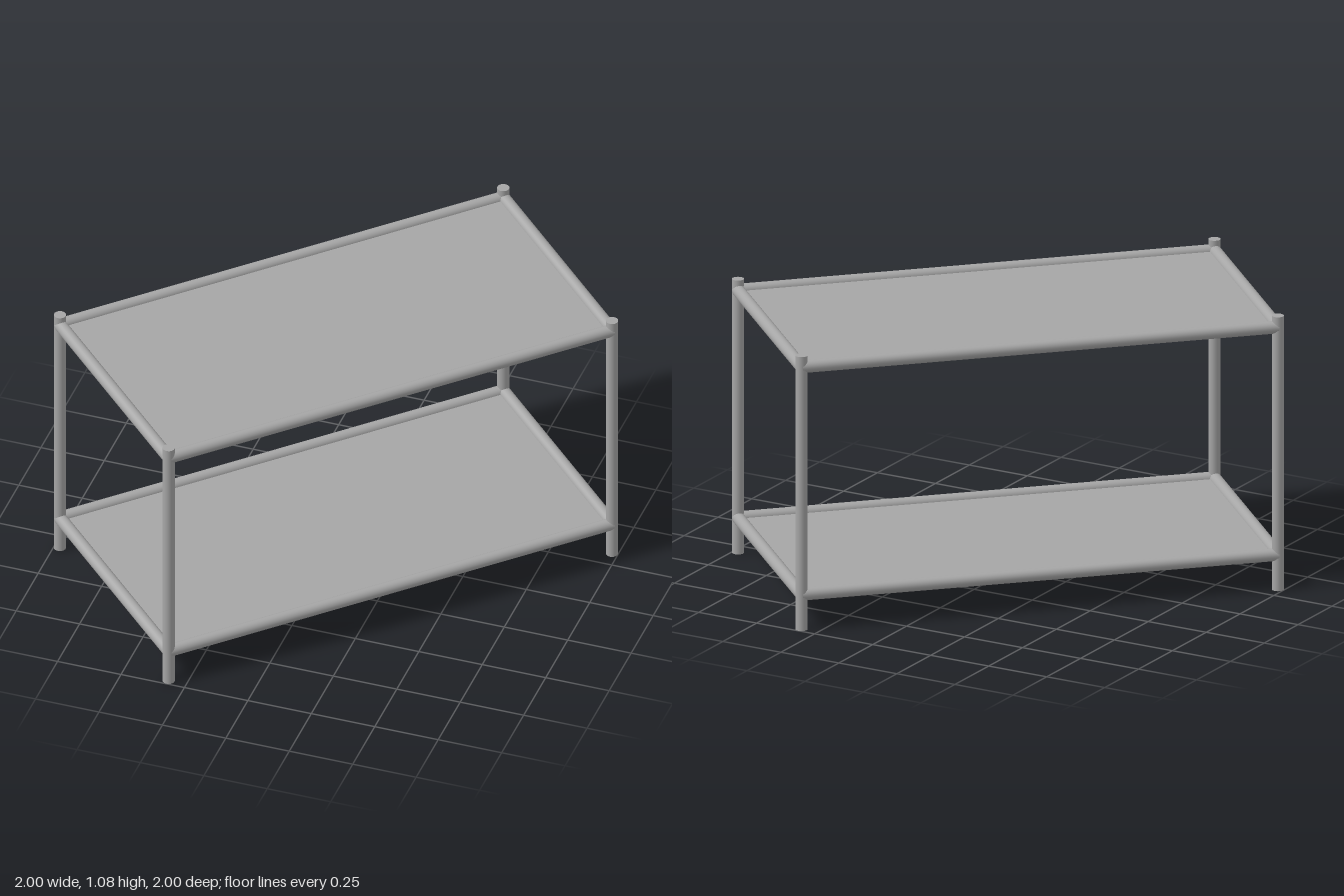
import * as THREE from 'three';

const LENGTH = 1.834, DEPTH = 0.929; // spacing between post centres
const HEIGHT = 1.075, POST_R = 0.023, RAIL_R = 0.024;
const LEVELS = { lower: 0.137, upper: 1.03 };

export function createModel() {
  const group = new THREE.Group();
  const metal = new THREE.MeshStandardMaterial({ color: 0xa6a6a6 });
  metal.name = 'grey metal';

  const add = (name, geometry, x, y, z) => {
    const mesh = new THREE.Mesh(geometry, metal);
    mesh.name = name;
    mesh.position.set(x, y, z);
    group.add(mesh);
  };

  // Upright posts at the four corners
  const post = new THREE.CylinderGeometry(POST_R, POST_R, HEIGHT, 24);
  for (const sx of [-1, 1]) {
    for (const sz of [-1, 1]) add('post', post, sx * LENGTH / 2, HEIGHT / 2, sz * DEPTH / 2);
  }

  // Two shelves, each a thin panel framed by round rails
  const longRail = new THREE.CylinderGeometry(RAIL_R, RAIL_R, LENGTH, 24).rotateZ(Math.PI / 2);
  const shortRail = new THREE.CylinderGeometry(RAIL_R, RAIL_R, DEPTH, 24).rotateX(Math.PI / 2);
  const panel = new THREE.BoxGeometry(LENGTH, 0.008, DEPTH);
  for (const [level, y] of Object.entries(LEVELS)) {
    add(level + 'Panel', panel, 0, y, 0);
    for (const s of [-1, 1]) {
      add(level + 'LongRail', longRail, 0, y, s * DEPTH / 2);
      add(level + 'ShortRail', shortRail, s * LENGTH / 2, y, 0);
    }
  }

  // The table stands diagonally
  group.rotation.y = Math.PI / 4;
  group.name = 'twoTierTable';
  return group;
}
